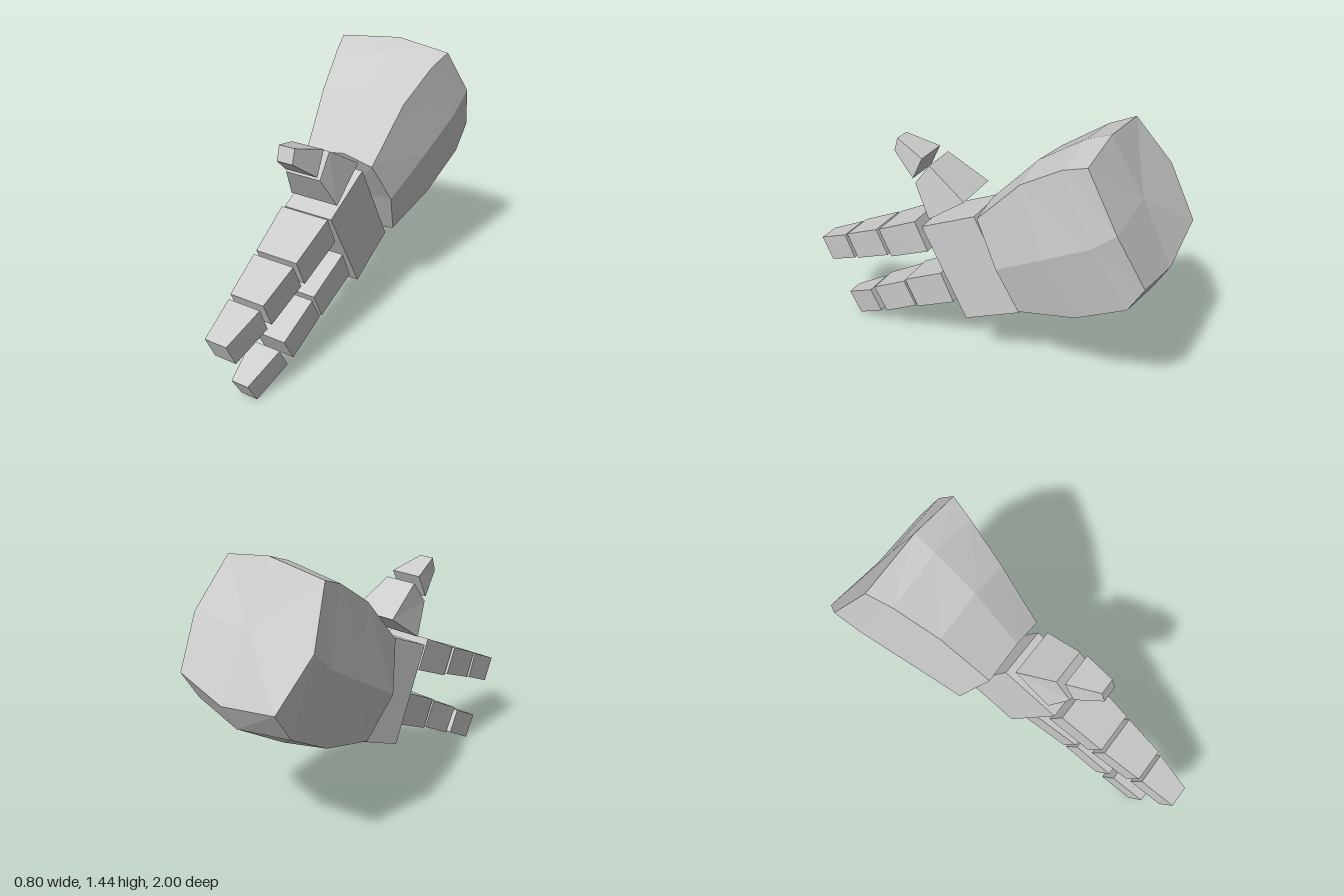
import * as THREE from 'three';

const material = new THREE.MeshStandardMaterial({ color: 0xcccccc, flatShading: true });

// Closed faceted solid through rings of [x, y, z], front ring first, clockwise seen from the front.
function loft(name, rings) {
  const pos = [];
  const tri = (...pts) => pts.forEach((p) => pos.push(...p));
  const n = rings[0].length;
  const centre = (ring) => [0, 1, 2].map((k) => ring.reduce((s, p) => s + p[k], 0) / n);
  const first = rings[0], last = rings[rings.length - 1];
  const c0 = centre(first), c1 = centre(last);
  for (let i = 0; i < n; i++) {
    const j = (i + 1) % n;
    for (let r = 0; r < rings.length - 1; r++) {
      const a = rings[r][i], b = rings[r][j], c = rings[r + 1][j], d = rings[r + 1][i];
      tri(a, b, c);
      tri(a, c, d);
    }
    tri(c0, first[j], first[i]);
    tri(c1, last[i], last[j]);
  }
  const geometry = new THREE.BufferGeometry();
  geometry.setAttribute('position', new THREE.Float32BufferAttribute(pos, 3));
  geometry.computeVertexNormals();
  const mesh = new THREE.Mesh(geometry, material);
  mesh.name = name;
  return mesh;
}

// Four-cornered ring: top and bottom edges given as [z, y] plus [xMin, xMax].
const quad = ([tz, ty], [bz, by], topX, bottomX = topX) => [
  [topX[0], ty, tz], [topX[1], ty, tz], [bottomX[1], by, bz], [bottomX[0], by, bz],
];

// Tapered finger segment: tip edge and base edge, each { top, bottom, x }.
const segment = (name, [tipTop, tipBottom, tipX], [baseTop, baseBottom, baseX]) =>
  loft(name, [quad(tipTop, tipBottom, tipX), quad(baseTop, baseBottom, baseX)]);

function digit(name, parts) {
  const group = new THREE.Group();
  group.name = name;
  parts.forEach(([tip, base], i) => group.add(segment(`${name}Segment${i + 1}`, tip, base)));
  return group;
}

export function createModel() {
  const hand = new THREE.Group();
  hand.name = 'hand';

  // Flared forearm: rows are [topMid, topCorner, side, bottomCorner, bottomMid] as [z, y],
  // widths are the left and right x of the corners and sides.
  const forearm = [
    { zy: [[-0.08, 0.975], [-0.08, 0.937], [-0.21, 0.71], [-0.32, 0.473], [-0.345, 0.415]],
      left: [0.22, 0.27, 0.235], right: [-0.172, -0.272, -0.2] },
    { zy: [[-0.325, 1.24], [-0.325, 1.2], [-0.47, 0.875], [-0.64, 0.58], [-0.655, 0.515]],
      left: [0.262, 0.33, 0.29], right: [-0.217, -0.325, -0.25] },
    { zy: [[-0.55, 1.39], [-0.545, 1.345], [-0.725, 1.035], [-0.9, 0.745], [-0.925, 0.69]],
      left: [0.31, 0.38, 0.34], right: [-0.265, -0.378, -0.305] },
    { zy: [[-0.67, 1.436], [-0.67, 1.395], [-0.84, 1.145], [-0.975, 0.89], [-1.0, 0.83]],
      left: [0.34, 0.4, 0.36], right: [-0.298, -0.4, -0.325] },
  ].map(({ zy, left, right }) => {
    const at = (i, x) => [x, zy[i][1], zy[i][0]];
    return [
      at(0, 0.055), at(1, left[0]), at(2, left[1]), at(3, left[2]),
      at(4, 0.035), at(3, right[2]), at(2, right[1]), at(1, right[0]),
    ];
  });
  forearm[3][5] = [-0.325, 0.9, -1.0];
  hand.add(loft('forearm', forearm));

  // Palm block, slightly wider at the bottom
  const palmTop = [-0.085, 0.185], palmBottom = [-0.112, 0.195];
  hand.add(loft('palm', [
    quad([0.26, 0.784], [0, 0.297], palmTop, palmBottom),
    quad([-0.046, 0.922], [-0.308, 0.436], palmTop, palmBottom),
  ]));

  // Each segment: tip edge then base edge, as top [z, y], bottom [z, y], x range
  hand.add(digit('upperFinger', [
    [[[0.544, 0.682], [0.474, 0.53], [-0.06, 0.168]], [[0.3, 0.805], [0.227, 0.645], [-0.075, 0.19]]],
    [[[0.78, 0.575], [0.72, 0.435], [-0.042, 0.143]], [[0.565, 0.672], [0.5, 0.53], [-0.06, 0.165]]],
    [[[1.0, 0.468], [0.94, 0.336], [-0.024, 0.095]], [[0.8, 0.56], [0.747, 0.425], [-0.038, 0.138]]],
  ]));
  hand.add(digit('lowerFinger', [
    [[[0.394, 0.404], [0.32, 0.249], [-0.045, 0.167]], [[0.153, 0.532], [0.078, 0.372], [-0.075, 0.19]]],
    [[[0.624, 0.265], [0.549, 0.126], [-0.032, 0.142]], [[0.404, 0.388], [0.335, 0.249], [-0.045, 0.165]]],
    [[[0.85, 0.126], [0.78, 0], [-0.013, 0.082]], [[0.656, 0.233], [0.592, 0.11], [-0.03, 0.137]]],
  ]));
  hand.add(digit('thumb', [
    [[[0.222, 1.126], [0.308, 1.008], [-0.038, 0.152]], [[0.008, 0.99], [0.212, 0.842], [-0.075, 0.19]]],
    [[[0.436, 1.21], [0.458, 1.137], [0.015, 0.1]], [[0.265, 1.152], [0.324, 1.03], [-0.032, 0.148]]],
  ]));

  return hand;
}
